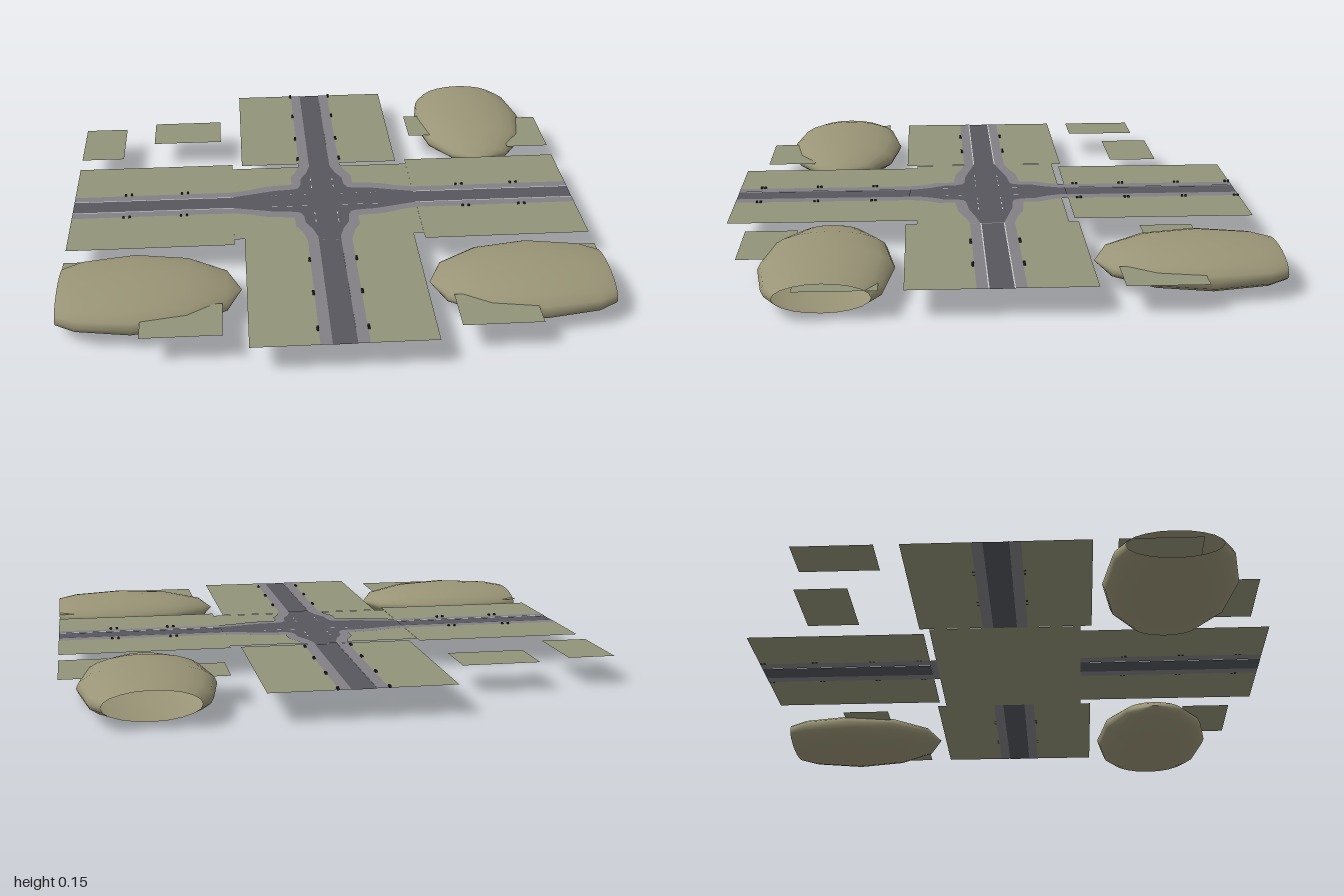
import * as THREE from 'three';

const GROUND = 0.107;
const mat = (color) => new THREE.MeshStandardMaterial({ color, side: THREE.DoubleSide });
const grass = mat(0x92947a), road = mat(0x56575d), pavement = mat(0x828085);
const paint = mat(0xc8c8c8), dark = mat(0x2c2c2c), hillMat = mat(0x9a9577);

export function createModel() {
  const model = new THREE.Group();
  const add = (name, geometry, material, parent = model) => {
    const mesh = new THREE.Mesh(geometry, material);
    mesh.name = name;
    parent.add(mesh);
    return mesh;
  };
  // Flat rectangle on the ground, from (x0, z0) to (x1, z1)
  const slab = (name, x0, x1, z0, z1, material, y = GROUND) => {
    const g = new THREE.PlaneGeometry(Math.abs(x1 - x0), Math.abs(z1 - z0)).rotateX(-Math.PI / 2);
    add(name, g, material).position.set((x0 + x1) / 2, y, (z0 + z1) / 2);
  };
  // Flat outline mirrored from one quadrant into all four
  const crossPatch = (name, quadrant, material, y) => {
    const back = [...quadrant].reverse();
    const points = [
      ...quadrant,
      ...back.map(([x, z]) => [-x, z]),
      ...quadrant.map(([x, z]) => [-x, -z]),
      ...back.map(([x, z]) => [x, -z]),
    ].map(([x, z]) => new THREE.Vector2(x, z));
    const g = new THREE.ShapeGeometry(new THREE.Shape(points)).rotateX(-Math.PI / 2);
    add(name, g, material).position.y = y;
  };

  // Grass under the junction
  slab('junctionGrass', -0.365, 0.365, -0.29, 0.285, grass, GROUND - 0.001);

  // Four arms: grass verge, pavement and kerb on both sides of the road
  for (const s of [-1, 1]) {
    const zStart = s < 0 ? -0.315 : 0.285;
    slab('roadAlongZ', -0.043, 0.043, zStart, s, road, GROUND - 0.001);
    slab('roadAlongX', s * 0.365, s, -0.045, 0.045, road, GROUND - 0.001);
    for (const t of [-1, 1]) {
      slab('vergeAlongZ', t * 0.085, t * 0.325, zStart, s, grass);
      slab('pavementAlongZ', t * 0.043, t * 0.085, zStart, s, pavement);
      slab('vergeAlongX', s * 0.365, s, t * 0.085, t * 0.327, grass);
      slab('pavementAlongX', s * 0.365, s, t * 0.045, t * 0.085, pavement);
      slab('kerbAlongX', s * 0.365, s, t * 0.042, t * 0.046, paint, GROUND + 0.0005);
    }
  }

  // Flared junction
  crossPatch('junctionPavement', [[0.365, 0.085], [0.3, 0.1], [0.23, 0.125], [0.16, 0.132],
    [0.125, 0.135], [0.125, 0.2], [0.1, 0.25], [0.085, 0.315]], pavement, GROUND + 0.0005);
  crossPatch('junctionRoad', [[0.365, 0.045], [0.3, 0.06], [0.2, 0.085], [0.12, 0.092],
    [0.1, 0.1], [0.088, 0.13], [0.085, 0.18], [0.06, 0.23], [0.043, 0.29], [0.043, 0.315]], road, GROUND + 0.001);

  // Dashed lane markings around the junction
  for (const s of [-1, 1]) for (const t of [-1, 1]) {
    for (const x of [0.07, 0.13, 0.19]) {
      slab('laneDash', s * x, s * (x + 0.022), t * 0.045, t * 0.048, paint, GROUND + 0.0015);
    }
    for (const z of [0.1, 0.16]) {
      slab('laneDash', s * 0.043, s * 0.046, t * z, t * (z + 0.02), paint, GROUND + 0.0015);
    }
  }

  // Small roadside fittings, in pairs beside each road
  const fitting = (x, z) => add('roadsideFitting', new THREE.BoxGeometry(0.008, 0.008, 0.008), dark)
    .position.set(x, GROUND + 0.003, z);
  for (const s of [-1, 1]) {
    for (const z of [-0.99, -0.78, -0.55, -0.36, 0.455, 0.68, 0.905]) {
      fitting(s * 0.088, z - 0.005);
      fitting(s * 0.088, z + 0.009);
    }
    for (const x of [-0.785, -0.56, 0.56, 0.785]) {
      fitting(x - 0.012, s * 0.09);
      fitting(x + 0.012, s * 0.09);
    }
  }

  // Loose grass plots in the four corners
  for (const s of [-1, 1]) {
    slab('backPlot', s * 0.413, s * 0.7, -0.745, -0.55, grass);
    slab('frontPlot', s * 0.413, s * 0.7, 0.725, 0.92, grass);
    slab('backEdgePlot', s * 0.825, s, -0.7, -0.415, grass);
    slab('frontEdgePlot', s * 0.825, s, 0.413, 0.7, grass);
  }

  // Flattened ovoid hills, cut open at the outer edge, tip pointing inwards
  const profile = [new THREE.Vector2(0.688, -0.267)];
  for (let a = 120; a >= 0; a -= 30) {
    const r = THREE.MathUtils.degToRad(a);
    profile.push(new THREE.Vector2(a ? Math.sin(r) : 0, 0.39 * Math.cos(r)));
  }
  const hillGeometry = new THREE.LatheGeometry(profile, 20)
    .scale(0.076, 1, 0.24).rotateZ(-Math.PI / 2);
  const hills = [
    ['frontRightHill', -0.733, 0.6, 0],
    ['frontLeftHill', 0.733, 0.6, Math.PI],
    ['backLeftHill', 0.7, -0.733, -Math.PI / 2],
  ];
  for (const [name, x, z, yaw] of hills) {
    const hill = add(name, hillGeometry, hillMat);
    hill.position.set(x, 0.082, z);
    hill.rotation.y = yaw;
  }
  return model;
}
